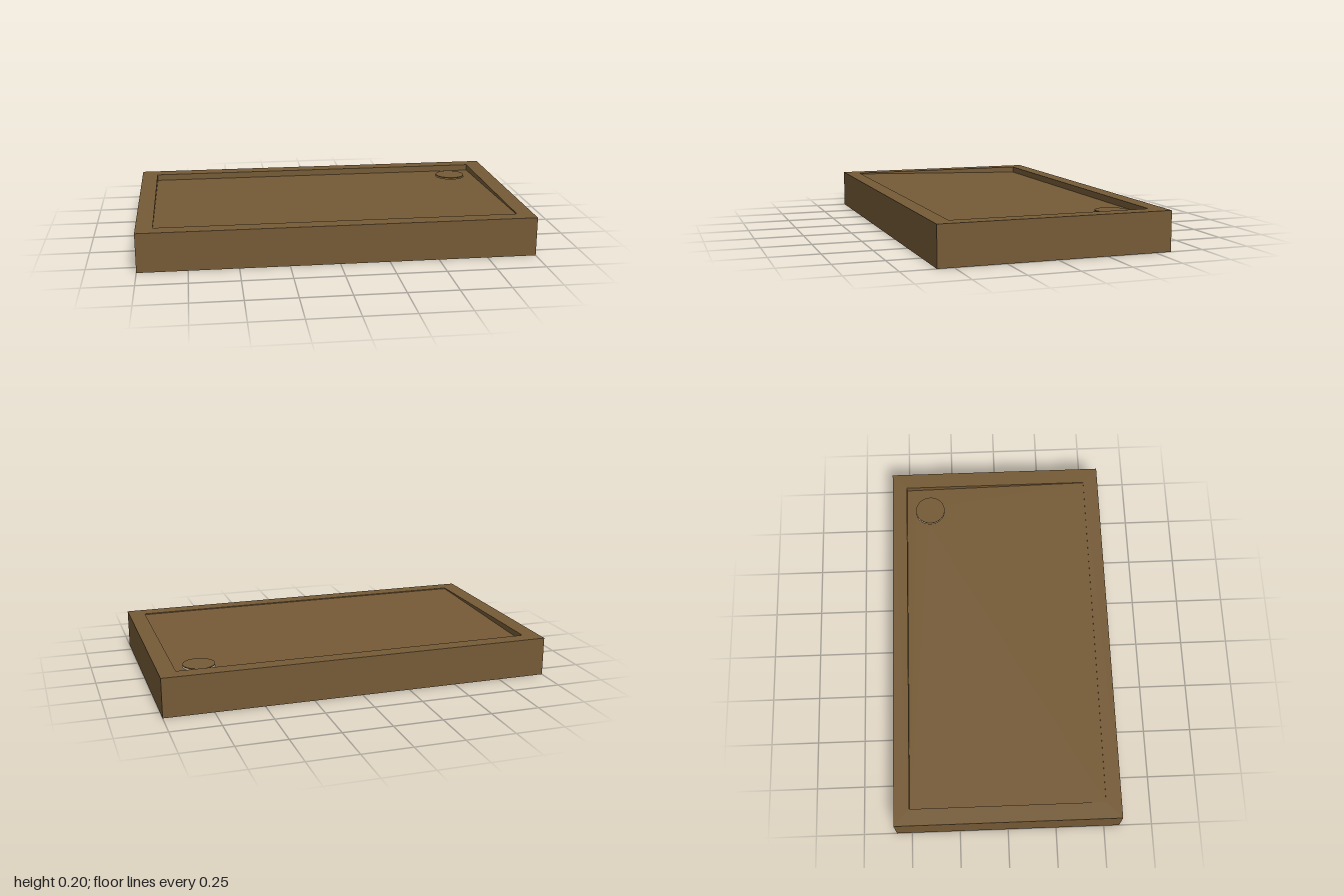
import * as THREE from 'three';

const TOP = 0.2, OX = 1, OZ = 0.58, IX = 0.915, IZ = 0.5;
const DRAIN = { x: 0.78, z: -0.37, r: 0.08 };

// the floor falls gently from the front edge to the back edge
const floorY = z => 0.181 + 0.014 * (z / IZ);

function rectangle(Type, hx, hz) {
  const p = new Type();
  p.moveTo(-hx, -hz);
  p.lineTo(hx, -hz);
  p.lineTo(hx, hz);
  p.lineTo(-hx, hz);
  p.closePath();
  return p;
}

// lays a flat shape down facing up, with its height given by a rule
function sheet(shape, height) {
  const g = new THREE.ShapeGeometry(shape, 24);
  g.rotateX(-Math.PI / 2);
  const p = g.attributes.position;
  for (let i = 0; i < p.count; i++) p.setY(i, height(p.getZ(i)));
  g.computeVertexNormals();
  return g;
}

// four upright walls round a rectangle; inward walls face the middle
function walls(hx, hz, bottom, inward) {
  const c = [[-hx, hz], [hx, hz], [hx, -hz], [-hx, -hz]];
  const pos = [];
  for (let i = 0; i < 4; i++) {
    let a = c[i], b = c[(i + 1) % 4];
    if (inward) [a, b] = [b, a];
    const a0 = [a[0], bottom(a[1]), a[1]], b0 = [b[0], bottom(b[1]), b[1]];
    const a1 = [a[0], TOP, a[1]], b1 = [b[0], TOP, b[1]];
    pos.push(...a0, ...b0, ...b1, ...a0, ...b1, ...a1);
  }
  const g = new THREE.BufferGeometry();
  g.setAttribute('position', new THREE.Float32BufferAttribute(pos, 3));
  g.computeVertexNormals();
  return g;
}

export function createModel() {
  const group = new THREE.Group();
  group.name = 'showerTray';
  const brown = new THREE.MeshStandardMaterial({ color: 0x755a36, side: THREE.DoubleSide });
  brown.name = 'brown';
  const add = (name, geometry) => {
    const mesh = new THREE.Mesh(geometry, brown);
    mesh.name = name;
    group.add(mesh);
    return mesh;
  };

  // open-bottomed skirt
  add('outerWalls', walls(OX, OZ, () => 0, false));

  // flat rim around the recess
  const rim = rectangle(THREE.Shape, OX, OZ);
  rim.holes.push(rectangle(THREE.Path, IX, IZ));
  add('rim', sheet(rim, () => TOP));

  // shallow recess with a drain hole
  add('recessWalls', walls(IX, IZ, floorY, true));
  const floor = rectangle(THREE.Shape, IX, IZ);
  const hole = new THREE.Path();
  hole.absarc(DRAIN.x, -DRAIN.z, DRAIN.r, 0, Math.PI * 2, true);
  floor.holes.push(hole);
  add('floor', sheet(floor, floorY));

  // thin cover raised just above the drain hole
  const cover = add('drainCover', new THREE.CylinderGeometry(DRAIN.r, DRAIN.r, 0.004, 48));
  cover.position.set(DRAIN.x, 0.179, DRAIN.z);

  return group;
}
